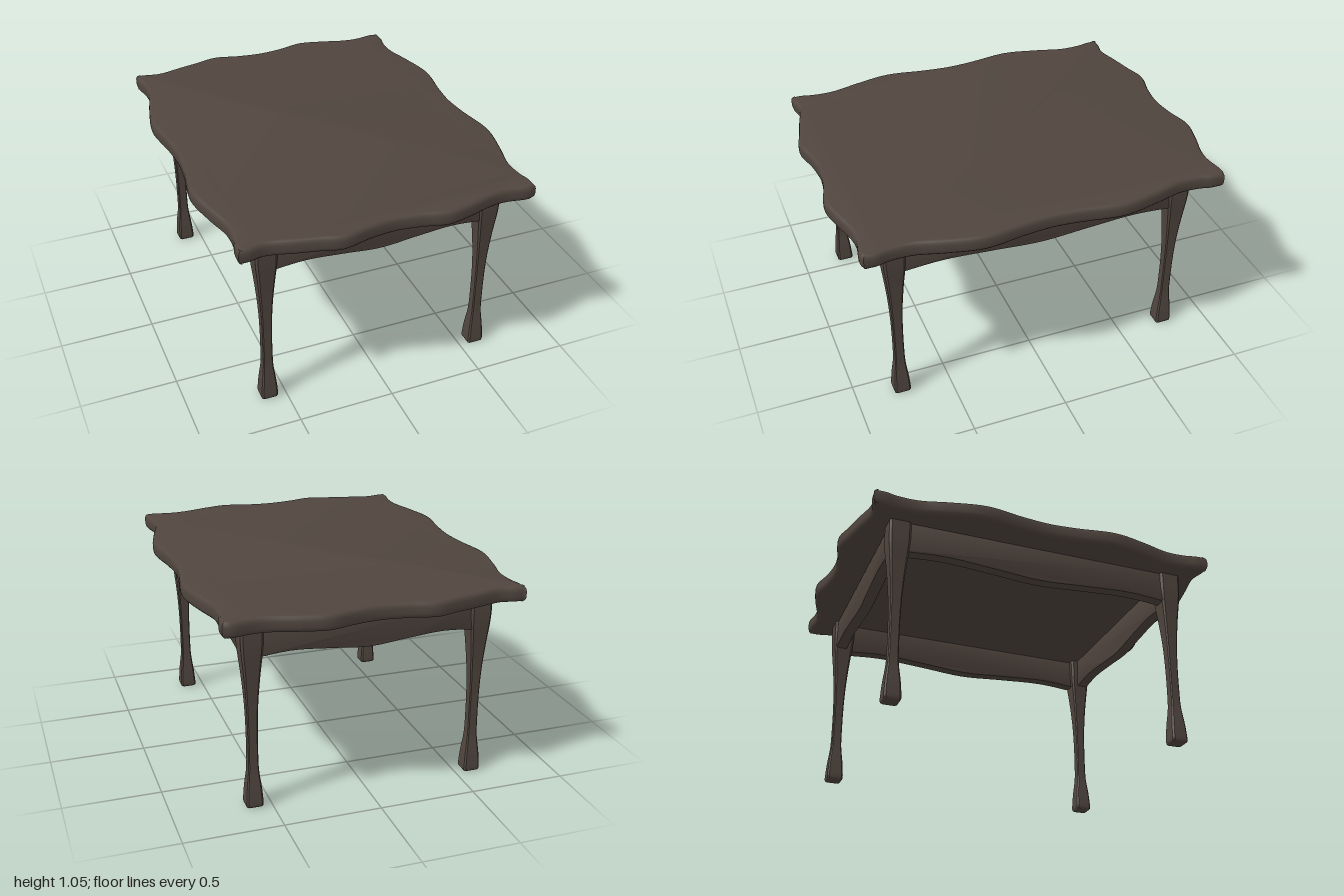
import * as THREE from 'three';
import { toCreasedNormals } from 'three/addons/utils/BufferGeometryUtils.js';

const wood = new THREE.MeshStandardMaterial({ color: 0x50453e });
wood.name = 'dark wood';

function addMesh(parent, name, geometry, crease) {
  const mesh = new THREE.Mesh(toCreasedNormals(geometry, crease), wood);
  mesh.name = name;
  parent.add(mesh);
  return mesh;
}

const smooth = (points, n) =>
  new THREE.CatmullRomCurve3(points.map(([x, y]) => new THREE.Vector3(x, y, 0)))
    .getPoints(n).map((p) => new THREE.Vector2(p.x, p.y));

// Scalloped slab with rounded rim
function tabletopGeometry() {
  const end = [[0.76, 0.935], [0.72, 0.946], [0.61, 0.93], [0.53, 0.936], [0.39, 0.975],
    [0.265, 0.998], [0.13, 0.967], [0, 0.953], [-0.13, 0.967], [-0.27, 0.998], [-0.39, 0.97],
    [-0.5, 0.945], [-0.63, 0.915], [-0.71, 0.929], [-0.76, 0.93]];
  const half = [[0.76, 0.87], [0.747, 0.81], [0.745, 0.7], [0.783, 0.55], [0.818, 0.36], [0.79, 0.15]];
  const side = [[0.76, 0.935], ...half, [0.778, 0]];
  const fullSide = [...side, ...half.map(([x, z]) => [x, -z]).reverse(), [0.76, -0.935]];
  const front = smooth(end, 84);
  const right = smooth(fullSide, 84);
  const flip = (pts, sx, sy) => pts.map((p) => new THREE.Vector2(p.x * sx, p.y * sy));
  const outline = [
    ...front.slice(0, -1),
    ...flip(right, -1, 1).slice(0, -1),
    ...flip(front, 1, -1).reverse().slice(0, -1),
    ...flip(right, 1, -1).slice(0, -1),
  ];
  const geometry = new THREE.ExtrudeGeometry(new THREE.Shape(outline), {
    depth: 0.03, bevelThickness: 0.025, bevelSize: 0.02, bevelOffset: -0.02, bevelSegments: 3,
  });
  return geometry.rotateX(-Math.PI / 2).translate(0, 0.997, 0);
}

// Chamfered square leg, swelling at the knee and the foot
function legGeometry() {
  const profile = smooth([[0.036, 0], [0.042, 0.006], [0.041, 0.06], [0.037, 0.11], [0.027, 0.2],
    [0.025, 0.3], [0.026, 0.45], [0.031, 0.58], [0.042, 0.72], [0.053, 0.83], [0.056, 0.88],
    [0.057, 0.975]], 44);
  const k = 0.8; // chamfer start as a share of the half width
  const ring = [[1, k], [k, 1], [-k, 1], [-1, k], [-1, -k], [-k, -1], [k, -1], [1, -k]];
  const positions = [];
  const index = [];
  profile.forEach((p, row) => {
    ring.forEach(([x, z], i) => {
      positions.push(x * p.x, p.y, z * p.x);
      if (row === 0) return;
      const j = (i + 1) % 8;
      const a = (row - 1) * 8 + i, b = (row - 1) * 8 + j, c = row * 8 + j, d = row * 8 + i;
      index.push(a, d, b, b, d, c);
    });
  });
  const top = (profile.length - 1) * 8;
  for (let i = 1; i < 7; i++) {
    index.push(0, i, i + 1, top, top + i + 1, top + i);
  }
  const geometry = new THREE.BufferGeometry();
  geometry.setAttribute('position', new THREE.Float32BufferAttribute(positions, 3));
  geometry.setIndex(index);
  return geometry;
}

// Rail with a wavy lower edge, facing +z
function apronGeometry(halfLength, waveX) {
  const lower = smooth([[-halfLength, 0.8], [-waveX, 0.816], [-waveX * 0.5, 0.802], [0, 0.785],
    [waveX * 0.5, 0.802], [waveX, 0.816], [halfLength, 0.8]], 48);
  const shape = new THREE.Shape([...lower,
    new THREE.Vector2(halfLength, 0.975), new THREE.Vector2(-halfLength, 0.975)]);
  return new THREE.ExtrudeGeometry(shape, {
    depth: 0.045, bevelThickness: 0.01, bevelSize: 0.008, bevelOffset: -0.008, bevelSegments: 2,
  }).translate(0, 0, -0.01);
}

export function createModel() {
  const table = new THREE.Group();
  table.name = 'table';
  const legX = 0.589, legZ = 0.76;

  addMesh(table, 'tabletop', tabletopGeometry(), 0.7);

  for (const sx of [1, -1]) {
    for (const sz of [1, -1]) {
      const name = (sz > 0 ? 'front' : 'back') + (sx > 0 ? 'Left' : 'Right') + 'Leg';
      addMesh(table, name, legGeometry(), 0.5).position.set(sx * legX, 0, sz * legZ);
    }
  }

  for (const s of [1, -1]) {
    const endApron = addMesh(table, s > 0 ? 'frontApron' : 'backApron', apronGeometry(legX, 0.39), 0.6);
    endApron.position.z = s * legZ;
    endApron.rotation.y = s > 0 ? 0 : Math.PI;
    const sideApron = addMesh(table, s > 0 ? 'leftApron' : 'rightApron', apronGeometry(legZ, 0.52), 0.6);
    sideApron.position.x = s * legX;
    sideApron.rotation.y = s * Math.PI / 2;
  }
  return table;
}
